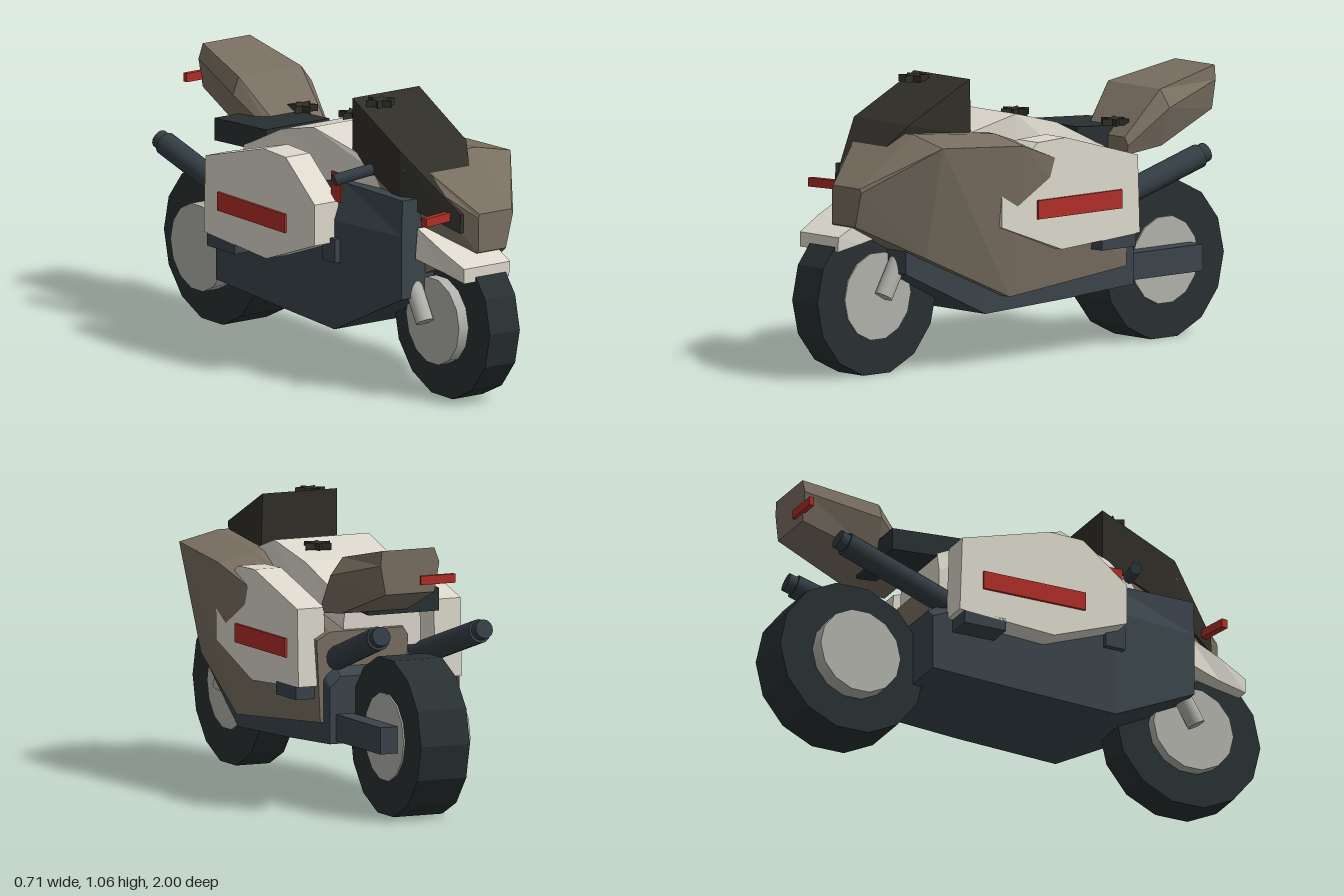
import * as THREE from 'three';

const mat = (color, flat = true) => new THREE.MeshStandardMaterial({ color, flatShading: flat });
const brown = mat(0x786e60), cream = mat(0xdcd8cc), steel = mat(0x3a444b), tyreMat = mat(0x283032);
const silver = mat(0xb0b1aa, false), red = mat(0xb02e28), glass = mat(0x2f2e28), pipe = mat(0x333d43, false);

export function createModel() {
  const model = new THREE.Group();

  function add(name, geometry, material) {
    const mesh = new THREE.Mesh(geometry, material);
    mesh.name = name;
    model.add(mesh);
    return mesh;
  }

  // Box given by its extents on each axis
  function box(name, material, [x0, x1], [y0, y1], [z0, z1]) {
    const mesh = add(name, new THREE.BoxGeometry(x1 - x0, y1 - y0, z1 - z0), material);
    mesh.position.set((x0 + x1) / 2, (y0 + y1) / 2, (z0 + z1) / 2);
    return mesh;
  }

  // Cylinder between two points
  function rod(name, material, from, to, radius, sides = 16) {
    const a = new THREE.Vector3(...from), b = new THREE.Vector3(...to);
    const mesh = add(name, new THREE.CylinderGeometry(radius, radius, a.distanceTo(b), sides), material);
    mesh.position.copy(a).add(b).multiplyScalar(0.5);
    mesh.quaternion.setFromUnitVectors(new THREE.Vector3(0, 1, 0), b.sub(a).normalize());
    return mesh;
  }

  // Closed faceted hull; each station, front to back, is [z, [y, xLeftEdge, xRightEdge], ...] from bottom to top
  function hull(name, material, stations) {
    const rings = stations.map(([z, ...rows]) => [
      ...rows.map(([y, , x]) => [x, y, z]),
      ...rows.map(([y, x]) => [x, y, z]).reverse(),
    ]);
    const out = [];
    const n = rings[0].length;
    for (let s = 0; s + 1 < rings.length; s++) {
      for (let i = 0; i < n; i++) {
        const j = (i + 1) % n, f = rings[s], r = rings[s + 1];
        out.push(...f[i], ...r[i], ...f[j], ...f[j], ...r[i], ...r[j]);
      }
    }
    const front = rings[0], back = rings[rings.length - 1];
    for (let i = 1; i + 1 < n; i++) {
      out.push(...front[0], ...front[i], ...front[i + 1]);
      out.push(...back[0], ...back[i + 1], ...back[i]);
    }
    const g = new THREE.BufferGeometry();
    g.setAttribute('position', new THREE.Float32BufferAttribute(out, 3));
    g.computeVertexNormals();
    return add(name, g, material);
  }

  // Wheels with protruding hubs
  rod('frontTyre', tyreMat, [-0.057, 0.295, 0.7], [0.08, 0.295, 0.7], 0.298, 14);
  rod('frontHub', silver, [-0.1, 0.295, 0.7], [0.086, 0.295, 0.7], 0.165, 14);
  rod('rearTyre', tyreMat, [-0.08, 0.295, -0.7], [0.12, 0.295, -0.7], 0.298, 14);
  rod('rearHub', silver, [-0.148, 0.295, -0.7], [0.126, 0.295, -0.7], 0.165, 14);

  // Front fork and fender
  for (const x of [-0.132, 0.11]) rod('fork', silver, [x, 0.295, 0.695], [x, 0.65, 0.49], 0.034);
  hull('frontFender', cream, [
    [0.91, [0.48, -0.11, 0.095], [0.535, -0.11, 0.1]],
    [0.8, [0.5, -0.12, 0.1], [0.585, -0.13, 0.1]],
    [0.66, [0.53, -0.15, 0.11], [0.645, -0.14, 0.11]],
  ]);

  // Lower engine block
  hull('engineBody', steel, [
    [0.65, [0.38, -0.205, 0.185], [0.62, -0.205, 0.185], [0.755, -0.2, 0.18]],
    [0.3, [0.205, -0.255, 0.235], [0.62, -0.255, 0.235], [0.755, -0.205, 0.185]],
    [-0.1, [0.222, -0.25, 0.235], [0.6, -0.25, 0.235], [0.7, -0.205, 0.185]],
    [-0.45, [0.24, -0.245, 0.225], [0.45, -0.245, 0.225], [0.49, -0.2, 0.18]],
  ]);
  box('sideCover', steel, [-0.275, -0.2], [0.465, 0.555], [0.25, 0.33]);

  // Brown fairing, set off towards the left of the machine
  hull('fairing', brown, [
    [0.85, [0.57, 0, 0.125], [0.7, 0, 0.158], [0.715, 0.005, 0.15]],
    [0.6, [0.44, -0.12, 0.24], [0.86, -0.16, 0.33], [0.895, -0.12, 0.17]],
    [0.22, [0.265, -0.1, 0.28], [0.835, -0.16, 0.355], [0.865, -0.12, 0.2]],
    [-0.4, [0.315, -0.1, 0.24], [0.62, -0.12, 0.255], [0.65, -0.1, 0.2]],
  ]);

  // Dark windscreen block tapering to the nose
  hull('windscreen', glass, [
    [0.8, [0.64, -0.05, 0.02], [0.71, -0.045, 0.02]],
    [0.59, [0.73, -0.165, 0.1], [0.925, -0.165, 0.135]],
    [0.29, [0.86, -0.165, 0.145], [1.068, -0.165, 0.14]],
  ]);

  // Tank
  hull('tank', cream, [
    [0.45, [0.6, -0.15, 0.14], [0.8, -0.15, 0.14], [0.83, -0.14, 0.13]],
    [0.1, [0.6, -0.205, 0.185], [0.83, -0.205, 0.185], [0.925, -0.205, 0.185]],
    [-0.12, [0.6, -0.205, 0.185], [0.76, -0.205, 0.185], [0.87, -0.19, 0.165]],
    [-0.39, [0.58, -0.175, 0.14], [0.68, -0.175, 0.14], [0.75, -0.16, 0.13]],
  ]);

  // Side panels with red strips and footrests
  const profile = new THREE.Shape([
    [0.3, 0.535], [0.3, 0.69], [0.12, 0.835], [-0.02, 0.84],
    [-0.38, 0.74], [-0.39, 0.45], [0, 0.425],
  ].map(([z, y]) => new THREE.Vector2(-z, y)));
  for (const side of [-1, 1]) {
    const at = (a, b) => [side * a - 0.01, side * b - 0.01].sort((p, q) => p - q);
    const panel = add('sidePanel', new THREE.ExtrudeGeometry(profile, { depth: 0.11, bevelEnabled: false }), cream);
    panel.rotation.y = Math.PI / 2;
    panel.position.x = at(0.225, 0.335)[0];
    box('sideStrip', red, at(0.32, 0.345), [0.55, 0.62], [-0.295, 0.125]);
    box('footrest', steel, at(0.2, 0.335), [0.4, 0.45], [-0.37, -0.2]);

    // Exhausts with narrow tips
    const ex = (d) => side * d - 0.01;
    rod('exhaust', pipe, [ex(0.175), 0.53, -0.33], [ex(0.208), 0.68, -0.8], 0.045, 14);
    rod('exhaustTip', pipe, [ex(0.207), 0.675, -0.78], [ex(0.211), 0.692, -0.832], 0.036, 14);
  }

  // Single-sided swingarm
  box('swingarm', steel, [0.13, 0.2], [0.25, 0.35], [-0.82, -0.14]);

  // Seat and raised tail
  hull('seat', tyreMat, [
    [-0.255, [0.75, -0.16, 0.13], [0.835, -0.16, 0.13]],
    [-0.575, [0.73, -0.16, 0.13], [0.815, -0.16, 0.13]],
  ]);
  hull('tail', brown, [
    [-0.41, [0.725, 0, 0.23], [0.76, -0.01, 0.24], [0.79, 0.01, 0.22]],
    [-0.575, [0.745, -0.03, 0.24], [0.89, -0.075, 0.285], [0.955, -0.05, 0.235]],
    [-0.865, [0.85, 0, 0.2], [0.96, -0.02, 0.22], [1.015, 0, 0.215]],
  ]);
  box('tailLamp', red, [-0.08, 0.06], [0.88, 0.913], [-0.877, -0.858]);

  // Handlebar, front lamp and side marker
  rod('handlebar', pipe, [-0.3, 0.79, 0.36], [-0.1, 0.832, 0.42], 0.023, 10);
  box('frontLamp', red, [-0.2, -0.05], [0.682, 0.715], [0.752, 0.777]).rotation.y = 0.2;
  box('sideMarker', red, [-0.249, -0.241], [0.69, 0.8], [0.27, 0.33]);

  // Small spiked ornaments
  const star = new THREE.Shape(Array.from({ length: 12 }, (_, i) => {
    const r = i % 2 ? 0.024 : 0.056, a = i * Math.PI / 6;
    return new THREE.Vector2(r * Math.cos(a), r * Math.sin(a));
  }));
  const starGeo = new THREE.ExtrudeGeometry(star, { depth: 0.026, bevelEnabled: false }).rotateX(-Math.PI / 2);
  for (const [x, y, z] of [[0.06, 0.897, -0.01], [0.14, 0.825, -0.435], [-0.09, 1.042, 0.36]]) {
    const spike = add('spikedOrnament', starGeo, glass);
    spike.position.set(x, y, z);
    spike.rotation.y = x * 3;
  }
  return model;
}
